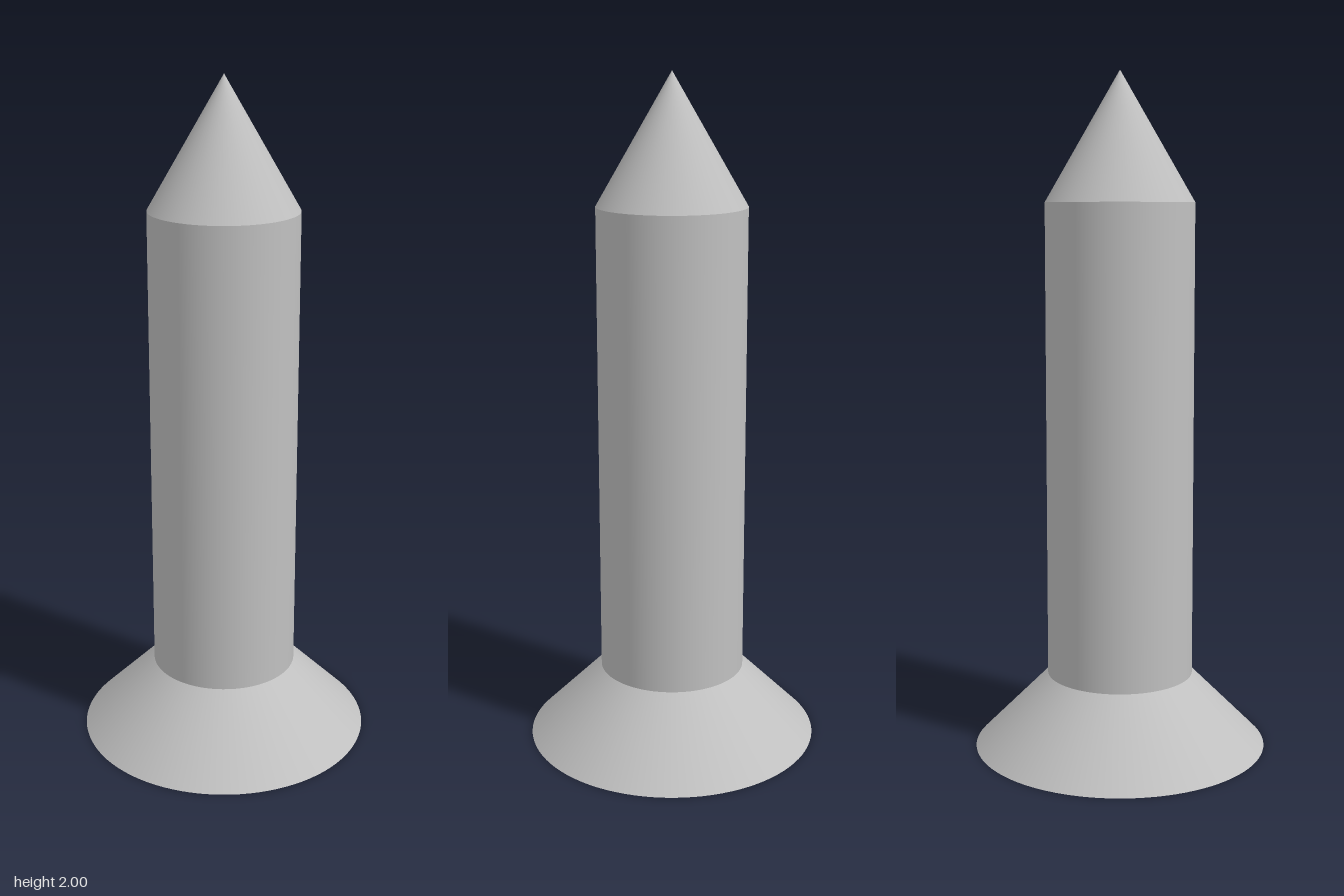
import * as THREE from 'three';

const HEAD_R = 0.437, SHANK_R = 0.218;
const HEAD_TOP = 0.22, SHANK_TOP = 1.625, TIP = 2;
const ARM = 0.25, HALF = 0.05, DEPTH = 0.09; // cross recess
const SIDES = 96;

export function createModel() {
  const steel = new THREE.MeshStandardMaterial({ color: 0xc0c0c0 });
  steel.name = 'steel';
  const group = new THREE.Group();
  group.name = 'screw';

  const add = (name, geometry) => {
    const mesh = new THREE.Mesh(geometry, steel);
    mesh.name = name;
    group.add(mesh);
  };

  // Round section between two heights, without caps
  const section = (name, rBottom, rTop, y0, y1) =>
    add(name, new THREE.CylinderGeometry(rTop, rBottom, y1 - y0, SIDES, 1, true)
      .translate(0, (y0 + y1) / 2, 0));

  section('countersunkHead', HEAD_R, SHANK_R, 0, HEAD_TOP);
  section('shank', SHANK_R, SHANK_R, HEAD_TOP, SHANK_TOP);
  section('pointedTip', SHANK_R, 0, SHANK_TOP, TIP);

  // Cross outline: one arm's three corners, turned four times
  const cross = [];
  for (let i = 0; i < 4; i++) {
    for (const [x, y] of [[ARM, -HALF], [ARM, HALF], [HALF, HALF]]) {
      cross.push(new THREE.Vector2(x, y).rotateAround(new THREE.Vector2(), i * Math.PI / 2));
    }
  }

  // Flat head face with the cross cut out
  const face = new THREE.Shape().absarc(0, 0, HEAD_R, 0, Math.PI * 2);
  face.holes.push(new THREE.Path(cross));
  add('headFace', new THREE.ShapeGeometry(face, SIDES / 2).rotateX(Math.PI / 2));

  // Recess floor
  add('recessFloor', new THREE.ShapeGeometry(new THREE.Shape(cross))
    .rotateX(Math.PI / 2).translate(0, DEPTH, 0));

  // Recess walls, facing inwards
  const walls = [];
  cross.forEach((a, i) => {
    const b = cross[(i + 1) % cross.length];
    walls.push(a.x, 0, a.y, b.x, 0, b.y, b.x, DEPTH, b.y);
    walls.push(a.x, 0, a.y, b.x, DEPTH, b.y, a.x, DEPTH, a.y);
  });
  const wallGeometry = new THREE.BufferGeometry();
  wallGeometry.setAttribute('position', new THREE.Float32BufferAttribute(walls, 3));
  wallGeometry.computeVertexNormals();
  add('recessWalls', wallGeometry);

  return group;
}
